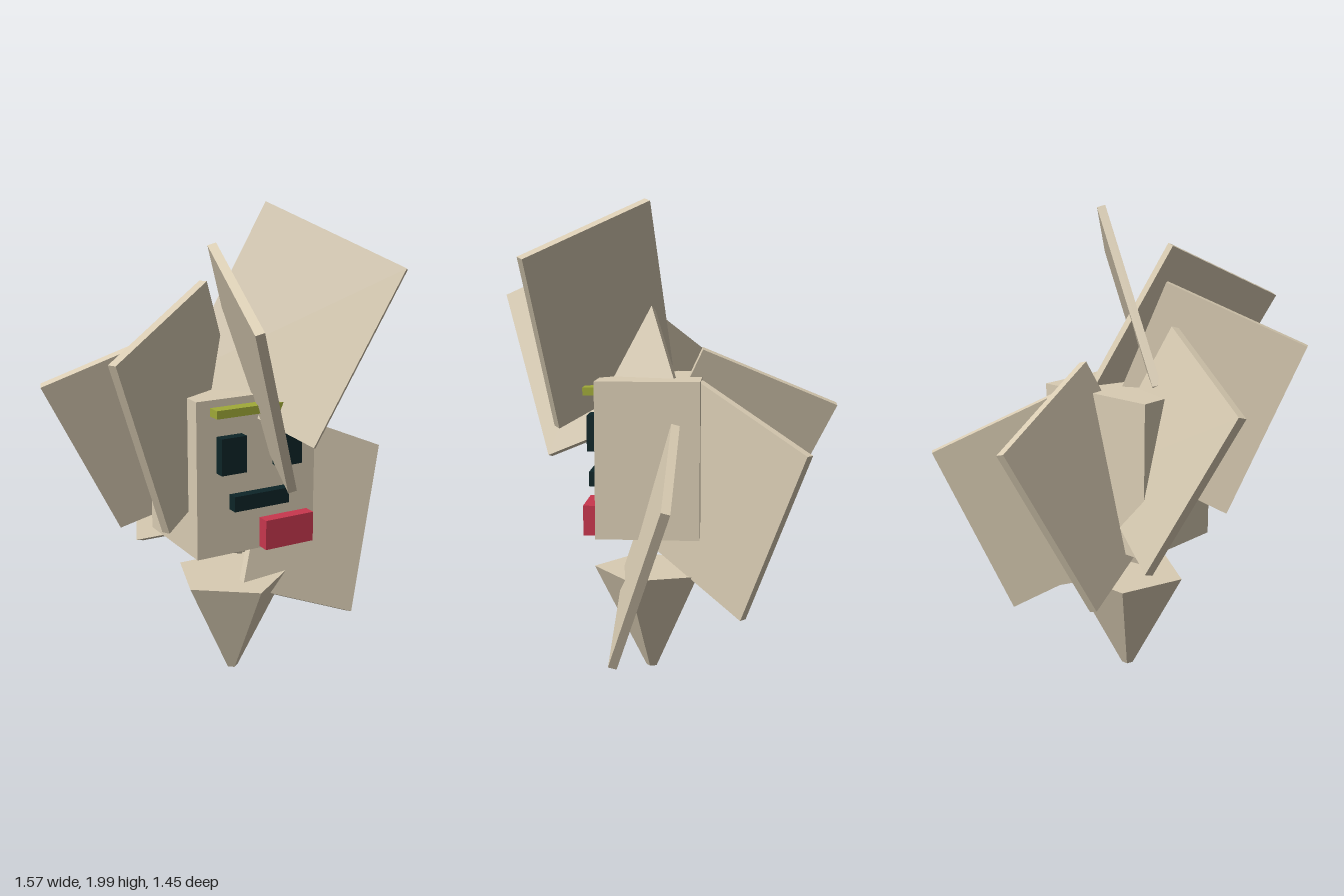
import * as THREE from 'three';

const mat = (name, color) => {
  const m = new THREE.MeshStandardMaterial({ color });
  m.name = name;
  return m;
};

export function createModel() {
  const group = new THREE.Group();
  const beige = mat('beige', 0xd9ccb3);
  const green = mat('olive green', 0xa0aa38);
  const dark = mat('dark teal', 0x0d2528);
  const red = mat('red', 0xc9374e);

  const add = (name, geometry, material) => {
    const mesh = new THREE.Mesh(geometry, material);
    mesh.name = name;
    group.add(mesh);
    return mesh;
  };

  // Box given by its minimum and maximum corners
  const box = (name, [x0, y0, z0], [x1, y1, z1], material) =>
    add(name, new THREE.BoxGeometry(x1 - x0, y1 - y0, z1 - z0), material)
      .position.set((x0 + x1) / 2, (y0 + y1) / 2, (z0 + z1) / 2);

  // Head and face
  box('head', [-0.32, 0.625, -0.155], [0.22, 1.27, 0.27], beige);
  for (const side of [-1, 1]) {
    const x = -0.05 + side * 0.127;
    box(side > 0 ? 'leftEye' : 'rightEye', [x - 0.056, 0.973, 0.25], [x + 0.056, 1.122, 0.313], dark);
  }
  box('brow', [-0.26, 1.207, 0.25], [0.16, 1.24, 0.325], green);
  box('mouth', [-0.175, 0.815, 0.25], [0.075, 0.878, 0.313], dark);
  box('tongue', [-0.037, 0.632, 0.25], [0.187, 0.757, 0.323], red);

  // Five-sided tapering base
  const base = new THREE.CylinderGeometry(0.25, 0.025, 0.44, 5).toNonIndexed();
  base.computeVertexNormals();
  add('base', base, beige).position.set(-0.05, 0.22, 0.06);

  // Radiating panels: outer upper corner, inner upper corner, outer lower corner
  const panels = [
    [[0.78, 0.86, -0.058], [0.22, 1.10, -0.058], [0.495, 0.178, 0.17]],
    [[0.462, 1.018, -0.577], [0.107, 1.267, -0.149], [0.262, 0.31, -0.335]],
    [[-0.115, 1.15, -0.725], [0.005, 1.39, -0.16], [-0.272, 0.472, -0.398]],
    [[-0.783, 1.298, -0.165], [-0.275, 1.533, 0.08], [-0.427, 0.622, -0.25]],
    [[-0.708, 1.468, 0.38], [-0.21, 1.70, 0.115], [-0.435, 0.757, 0.235]],
    [[-0.307, 1.6, 0.725], [-0.187, 1.845, 0.155], [-0.022, 0.93, 0.49]],
    [[0.47, 1.75, 0.507], [0.107, 1.987, 0.063], [0.11, 1.07, 0.44]],
  ];
  for (const corners of panels) {
    const [outer, inner, lower] = corners.map((c) => new THREE.Vector3(...c));
    const across = inner.clone().sub(outer);
    const down = lower.clone().sub(outer);
    const panel = add('panel', new THREE.BoxGeometry(across.length(), down.length(), 0.035), beige);
    const x = across.clone().normalize();
    const z = new THREE.Vector3().crossVectors(x, down).normalize();
    const y = new THREE.Vector3().crossVectors(z, x);
    panel.quaternion.setFromRotationMatrix(new THREE.Matrix4().makeBasis(x, y, z));
    panel.position.copy(inner).add(lower).multiplyScalar(0.5);
  }
  return group;
}
